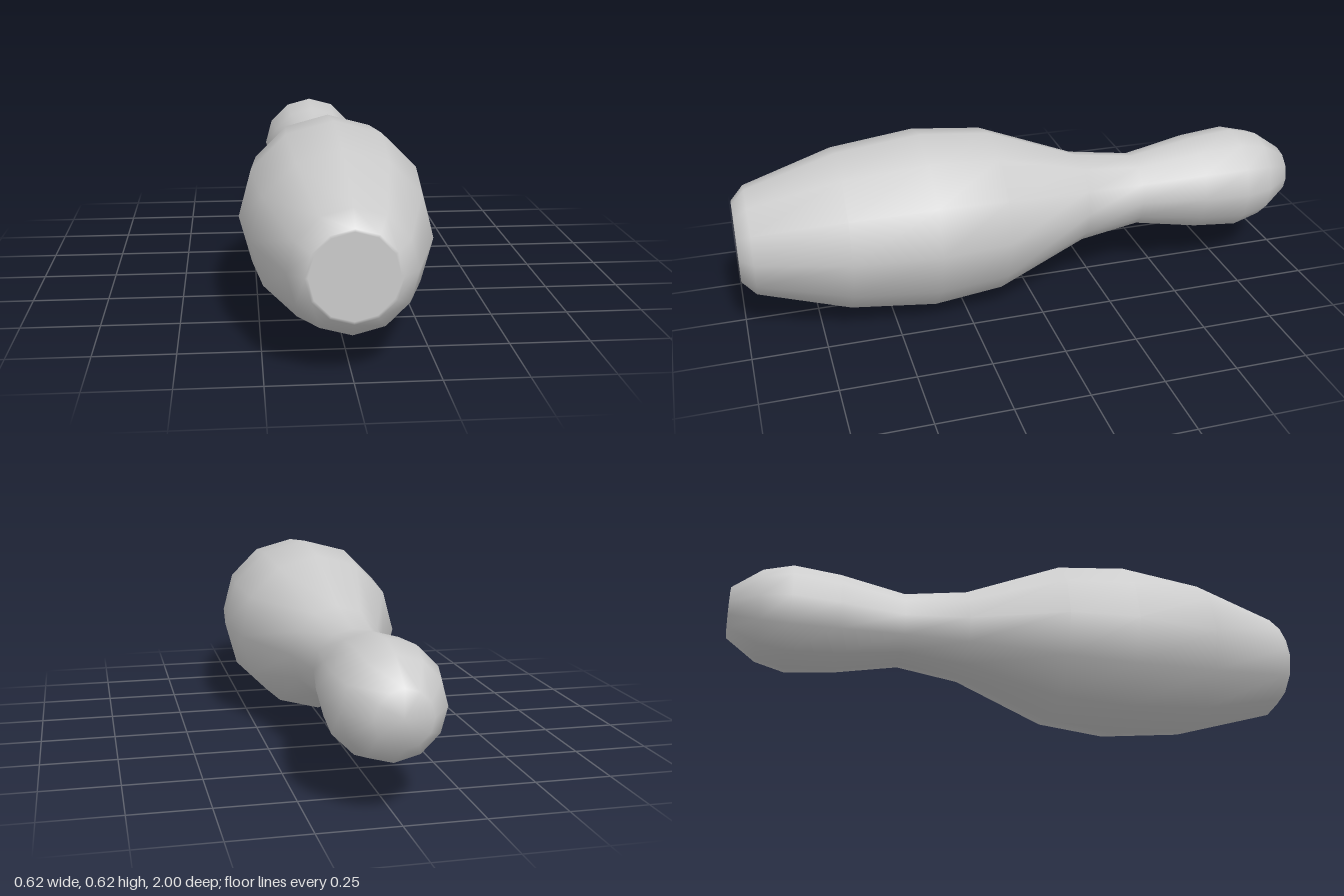
import * as THREE from 'three';

export function createModel() {
  const group = new THREE.Group();
  group.name = 'bowlingPin';

  // Profile as [radius, position along the pin], from head to base
  const profile = [
    [0, -1], [0.087, -1], [0.158, -0.9], [0.184, -0.8], [0.17, -0.64],
    [0.129, -0.415], [0.16, -0.2], [0.285, 0.12], [0.309, 0.36],
    [0.277, 0.65], [0.185, 0.955],
    [0.137, 1], [0.128, 1], [0, 1], // flat base with a softly shaded rim
  ].map(([r, z]) => new THREE.Vector2(r, z));

  // Twelve-sided smooth pin lying on its side, base towards the front
  const geometry = new THREE.LatheGeometry(profile, 12);
  geometry.rotateX(Math.PI / 2);

  const pin = new THREE.Mesh(geometry, new THREE.MeshStandardMaterial({ color: 0xcccccc }));
  pin.name = 'pinBody';
  pin.position.y = 0.309;
  group.add(pin);
  return group;
}
